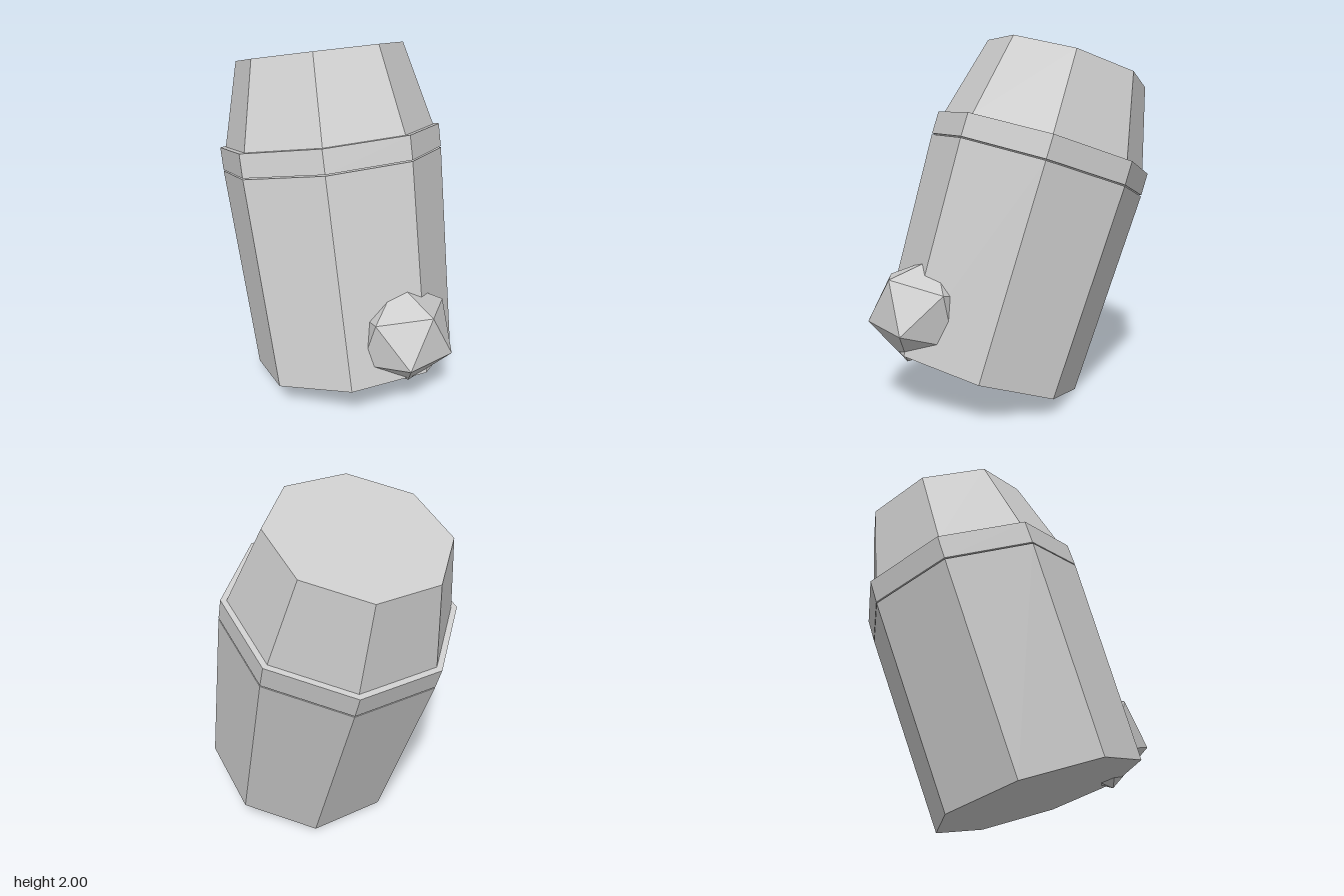
import * as THREE from 'three';

const grey = new THREE.MeshStandardMaterial({ color: 0xcccccc, flatShading: true });
grey.name = 'light grey';

// Closed octagonal section, sized by the distance from axis to flat side
function octagon(name, bottom, top, y0, y1) {
  const k = 1 / Math.cos(Math.PI / 8);
  const geometry = new THREE.CylinderGeometry(top * k, bottom * k, y1 - y0, 8, 1, false, Math.PI / 8);
  geometry.translate(0, (y0 + y1) / 2, 0);
  const mesh = new THREE.Mesh(geometry, grey);
  mesh.name = name;
  return mesh;
}

export function createModel() {
  const model = new THREE.Group();
  model.name = 'leaningCanister';

  // Canister, leaning backwards, with a hairline seam under the collar
  const canister = new THREE.Group();
  canister.name = 'canister';
  canister.position.set(0, 0.165, 0.155);
  canister.rotation.x = THREE.MathUtils.degToRad(-17.9);
  canister.add(
    octagon('body', 0.534, 0.58, 0, 1.178),
    octagon('collar', 0.58, 0.58, 1.185, 1.314),
    octagon('taperedLid', 0.55, 0.435, 1.314, 1.786)
  );
  model.add(canister);

  // Faceted knob sunk into the lower front
  const knob = new THREE.Mesh(new THREE.IcosahedronGeometry(0.288, 0), grey);
  knob.name = 'knob';
  const xAxis = new THREE.Vector3(0.511, 0.824, -0.247).normalize();
  const zAxis = xAxis.clone().cross(new THREE.Vector3(-0.006, 0.287, 0.958)).normalize();
  const yAxis = zAxis.clone().cross(xAxis);
  knob.quaternion.setFromRotationMatrix(new THREE.Matrix4().makeBasis(xAxis, yAxis, zAxis));
  knob.position.set(0.129, 0.545, 0.534);
  model.add(knob);

  return model;
}
